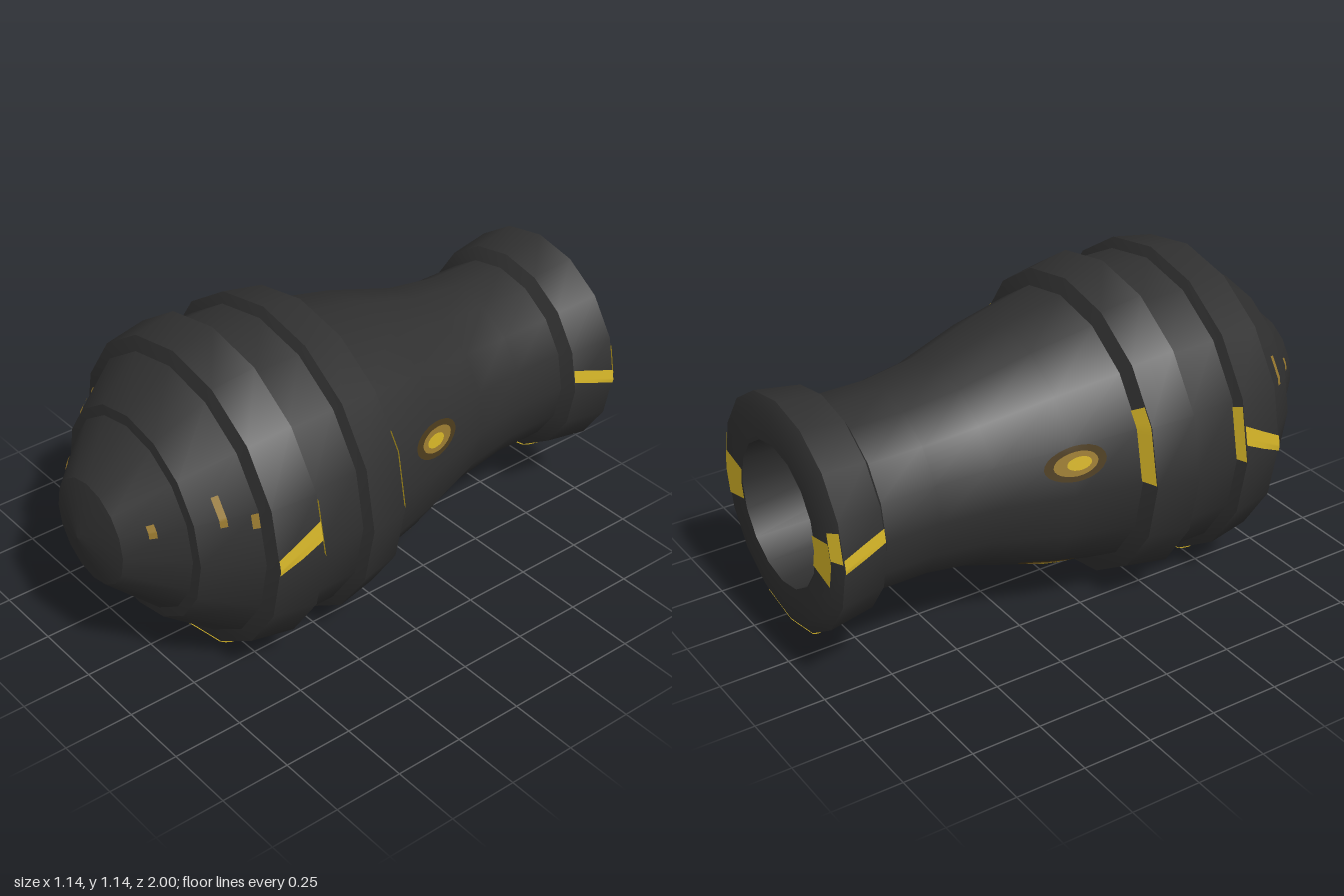
import * as THREE from 'three';
import { toCreasedNormals } from 'three/addons/utils/BufferGeometryUtils.js';

const SIDES = 16, CENTRE_Y = 0.567, DEG = Math.PI / 180;

// Outer profile from tail to nose, as [z, radius]
const OUTER = [
  [-1, 0.36], [-0.98, 0.405], [-0.82, 0.38], [-0.795, 0.335], [-0.6, 0.335], [-0.4, 0.362],
  [-0.15, 0.437], [0.08, 0.485], [0.1, 0.54], [0.25, 0.567], [0.265, 0.53], [0.435, 0.53],
  [0.45, 0.567], [0.605, 0.54], [0.62, 0.49], [0.785, 0.37], [0.79, 0.335], [0.95, 0.185], [1, 0],
];
// Socket in the tail
const SOCKET = [[-0.4, 0], [-0.4, 0.24], [-1, 0.25]];

function radiusAt(z) {
  const i = Math.max(1, OUTER.findIndex(p => p[0] >= z));
  const [a, b] = [OUTER[i - 1], OUTER[i]];
  return a[1] + (b[1] - a[1]) * (z - a[0]) / (b[0] - a[0]);
}

// Point on the faceted body; angle in degrees from +x towards +y
function onBody(z, r, angle) {
  const step = 360 / SIDES;
  const inFacet = ((angle % step) + step) % step - step / 2;
  const rr = r * Math.cos(step / 2 * DEG) / Math.cos(inFacet * DEG);
  return [rr * Math.cos(angle * DEG), rr * Math.sin(angle * DEG), z];
}

// Thin sheet over a grid; fn(u, v) gives [z, radius, angle]
function sheet(fn, nu, nv) {
  const pos = [], index = [];
  for (let i = 0; i <= nu; i++) for (let j = 0; j <= nv; j++) {
    pos.push(...onBody(...fn(i / nu, j / nv)));
    if (i < nu && j < nv) {
      const a = i * (nv + 1) + j, b = a + nv + 1;
      index.push(a, a + 1, b, b, a + 1, b + 1);
    }
  }
  const g = new THREE.BufferGeometry();
  g.setAttribute('position', new THREE.Float32BufferAttribute(pos, 3));
  g.setIndex(index);
  // make the faces look outwards
  g.computeVertexNormals();
  const p = g.attributes.position, n = g.attributes.normal;
  const m = Math.floor(p.count / 2);
  const outward = p.getX(m) * n.getX(m) + p.getY(m) * n.getY(m) + 0.8 * p.getZ(m) * n.getZ(m);
  if (outward < 0) {
    g.setIndex(index.reverse());
    g.computeVertexNormals();
  }
  return g;
}

// Painted band between two profile points; angle ranges at each end
function band(from, to, anglesFrom, anglesTo = anglesFrom) {
  const dz = to[0] - from[0], dr = to[1] - from[1], len = Math.hypot(dz, dr), lift = 0.004;
  const mix = THREE.MathUtils.lerp;
  return sheet((u, v) => [
    mix(from[0], to[0], u) - dr / len * lift,
    mix(from[1], to[1], u) + dz / len * lift,
    mix(mix(anglesFrom[0], anglesFrom[1], v), mix(anglesTo[0], anglesTo[1], v), u),
  ], 2, 16);
}

// Painted oval on the body
function oval(z, angle, halfZ, halfAngle, lift) {
  return sheet((u, v) => {
    const t = v * Math.PI * 2, pz = z + u * halfZ * Math.cos(t);
    return [pz, radiusAt(pz) + lift, angle + u * halfAngle * Math.sin(t)];
  }, 4, 24);
}

export function createModel() {
  const material = (name, color, side = THREE.DoubleSide) => {
    const m = new THREE.MeshStandardMaterial({ color, side });
    m.name = name;
    return m;
  };
  const black = material('black', 0x303030, THREE.FrontSide);
  const yellow = material('yellow', 0xd0b026);
  const gold = material('gold', 0x98792f);
  const brown = material('brown', 0x4a3a1c);

  const group = new THREE.Group();
  group.position.y = CENTRE_Y;
  const add = (name, geometry, mat) => {
    const mesh = new THREE.Mesh(geometry, mat);
    mesh.name = name;
    group.add(mesh);
  };

  // Turned body with ribs, collar, nose and tail socket
  const points = [...SOCKET, ...OUTER].map(([z, r]) => new THREE.Vector2(r, z));
  const body = new THREE.LatheGeometry(points, SIDES).rotateX(Math.PI / 2);
  add('body', toCreasedNormals(body, 0.45), black);

  // Broad stripes underneath
  const under = [-119, -61];
  add('underRibStripe', band([0.45, 0.567], [0.605, 0.54], under), yellow);
  add('underCollarStripe', band([-0.98, 0.405], [-0.82, 0.38], under), yellow);

  // Marks mirrored on both sides
  for (const [side, flip] of [['left', a => a], ['right', a => 180 - a]]) {
    const range = (a, b) => [flip(a), flip(b)];
    add(side + 'FrontRibSlash', band([0.45, 0.567], [0.605, 0.54], range(6, 13), range(-2, 4)), yellow);
    add(side + 'FrontRibEdge', band([0.435, 0.53], [0.45, 0.567], range(0, 20)), yellow);
    add(side + 'RearRibEdge', band([0.08, 0.485], [0.1, 0.54], range(1, 30)), yellow);
    add(side + 'CollarSlash', band([-0.98, 0.405], [-0.82, 0.38], range(-2, 5), range(5, 12)), yellow);
    add(side + 'CollarBevelMark', band([-1, 0.36], [-0.98, 0.405], range(3, 18)), yellow);
    add(side + 'TailFaceMark', band([-1, 0.25], [-1, 0.36], range(-14, 12)), yellow);

    // Short flecks near the nose
    for (const [z, a, b] of [[0.71, 19, 33], [0.63, 16, 22], [0.87, 18, 28]]) {
      const ends = [z - 0.01, z + 0.01].map(q => [q, radiusAt(q)]);
      add(side + 'NoseFleck', band(ends[0], ends[1], range(a, b)), gold);
    }

    // Glowing spots on the neck
    for (const a of [15, -54]) {
      add(side + 'SpotHalo', oval(-0.14, flip(a), 0.105, 8, 0.003), brown);
      add(side + 'SpotRing', oval(-0.14, flip(a), 0.075, 5.5, 0.005), gold);
      add(side + 'SpotCore', oval(-0.13, flip(a), 0.042, 3, 0.007), yellow);
    }
  }

  const model = new THREE.Group();
  model.name = 'ribbedCanister';
  model.add(group);
  return model;
}
